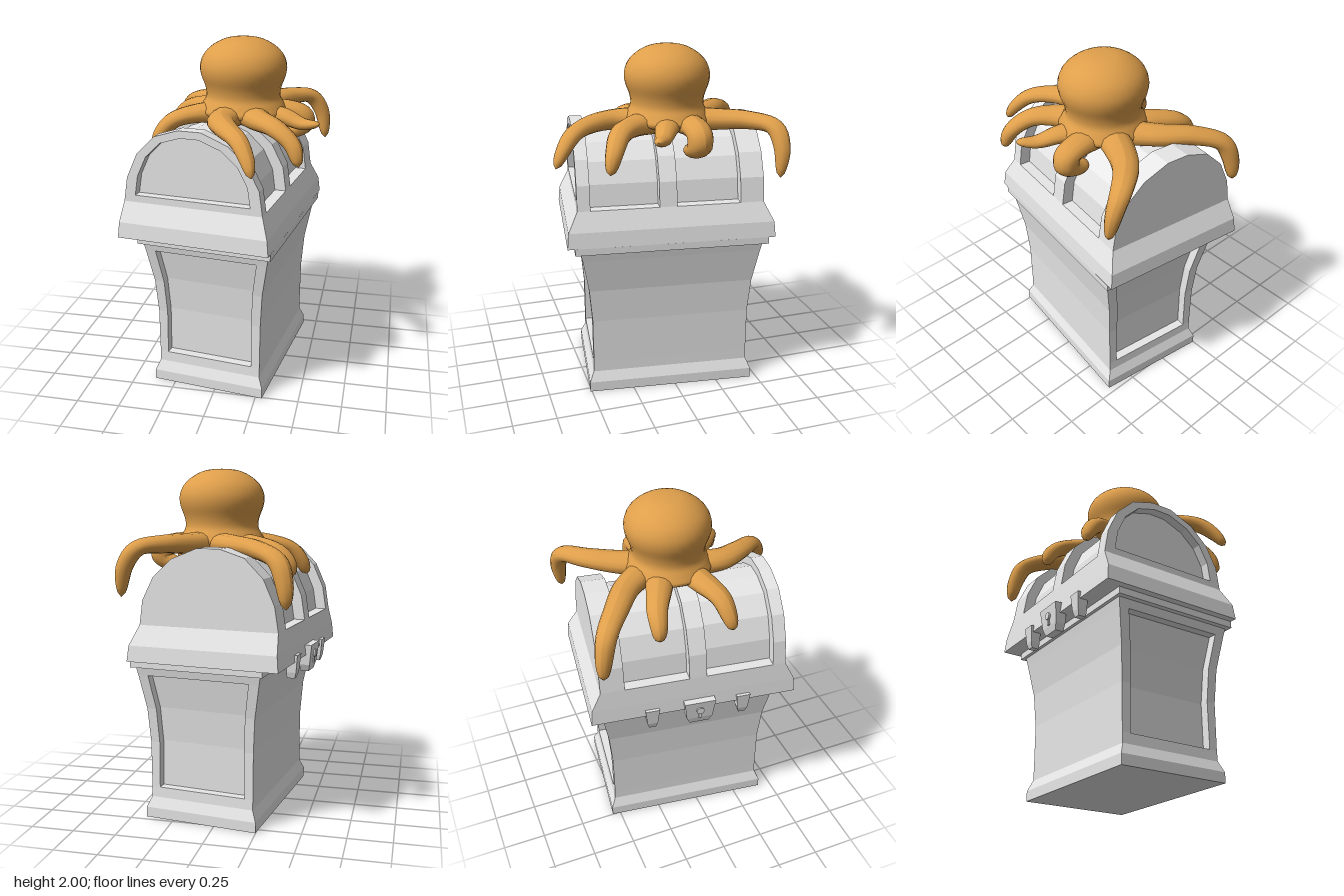
import * as THREE from 'three';

const stone = new THREE.MeshStandardMaterial({ color: 0xe9e9e9 });
stone.name = 'pale grey';
const skin = new THREE.MeshStandardMaterial({ color: 0xdf9f4b });
skin.name = 'orange skin';

function add(parent, name, geometry, material = stone) {
  const mesh = new THREE.Mesh(geometry, material);
  mesh.name = name;
  parent.add(mesh);
  return mesh;
}

// Flat-sided solid from rectangles stacked in y; each row is [y, x0, x1, z0, z1]
function loft(rows) {
  const rings = rows.map(([y, x0, x1, z0, z1]) => [[x0, y, z1], [x1, y, z1], [x1, y, z0], [x0, y, z0]]);
  const pos = [];
  const quad = (a, b, c, d) => pos.push(...a, ...b, ...c, ...a, ...c, ...d);
  for (let k = 0; k < rings.length - 1; k++) {
    for (let i = 0; i < 4; i++) {
      const j = (i + 1) % 4;
      quad(rings[k][i], rings[k][j], rings[k + 1][j], rings[k + 1][i]);
    }
  }
  const lo = rings[0], hi = rings[rings.length - 1];
  quad(lo[3], lo[2], lo[1], lo[0]);
  quad(hi[0], hi[1], hi[2], hi[3]);
  const geo = new THREE.BufferGeometry();
  geo.setAttribute('position', new THREE.Float32BufferAttribute(pos, 3));
  geo.computeVertexNormals();
  return geo;
}

// Chest box: flared walls with a sunken panel at each end
function buildBase() {
  const g = new THREE.Group();
  g.name = 'chestBase';
  const foot = [[0, .335, .49], [.06, .335, .49], [.12, .31, .465], [.18, .31, .462]];
  const wall = [[.18, .31, .462], [.45, .312, .462], [.65, .325, .478], [.85, .36, .512]];
  const top = [[.85, .36, .512], [.90, .37, .522]];
  const solid = (rows, dz = 0) => loft(rows.map(([y, w, l]) => [y, -w, w, -l + dz, l - dz]));
  const depth = .052;
  add(g, 'foot', solid(foot));
  add(g, 'walls', solid(wall, depth));
  add(g, 'topRail', solid(top));
  add(g, 'rim', solid([[.90, .39, .553], [.94, .39, .553]]));
  // Upright borders of the end panels
  for (const sx of [-1, 1]) for (const sz of [-1, 1]) {
    add(g, 'panelStile', loft(wall.map(([y, w, l]) => {
      const xs = [sx * w, sx * (w - .05 - .015 * (y - .18))].sort((a, b) => a - b);
      const zs = [sz * l, sz * (l - depth)].sort((a, b) => a - b);
      return [y, ...xs, ...zs];
    })));
  }
  return g;
}

// Barrel-topped lid with raised bands
function buildLid() {
  const g = new THREE.Group();
  g.name = 'chestLid';
  add(g, 'lidFlange', loft([
    [.94, -.44, .44, -.593, .593], [1.03, -.432, .43, -.585, .585], [1.14, -.42, .387, -.53, .53]]));

  const arch = [[.387, 1.14], [.367, 1.28], [.30, 1.41], [.19, 1.51], [.04, 1.57], [-.09, 1.57],
    [-.23, 1.525], [-.335, 1.42], [-.398, 1.28], [-.42, 1.14]];
  const outline = (sx, sy, y0) => arch.map(([x, y]) =>
    new THREE.Vector2(-.02 + (x + .02) * sx, y0 + (y - 1.14) * sy));
  const slab = (shape, z0, z1) => new THREE.ExtrudeGeometry(shape,
    { depth: z1 - z0, bevelEnabled: false }).translate(0, 0, z0);
  const full = () => new THREE.Shape(outline(1, 1, 1.14));

  add(g, 'lidPanels', slab(new THREE.Shape(outline(.84, .89, 1.14)), -.5, .46));
  add(g, 'backBand', slab(full(), -.53, -.395));
  add(g, 'middleBand', slab(full(), -.03, .07));
  add(g, 'frontPanel', slab(full(), .457, .475));
  const front = full();
  front.holes.push(new THREE.Path(outline(.83, .81, 1.18).reverse()));
  add(g, 'frontBand', slab(front, .475, .53));

  // Lock plate, keyhole boss and two hasps on the opening side
  add(g, 'lockPlate', loft([[.84, -.45, -.4, -.035, .075], [.88, -.46, -.4, -.055, .095],
    [1.0, -.475, -.4, -.07, .11]]));
  const boss = add(g, 'keyholeBoss', new THREE.CylinderGeometry(.022, .022, .02, 12));
  boss.rotation.z = Math.PI / 2;
  boss.position.set(-.468, .94, .02);
  add(g, 'keySlot', new THREE.BoxGeometry(.016, .04, .016)).position.set(-.462, .905, .02);
  for (const z of [-.25, .28]) {
    add(g, 'hasp', loft([[.845, -.435, -.39, z - .02, z + .02], [.88, -.445, -.39, z - .03, z + .03],
      [.98, -.455, -.39, z - .04, z + .04]]));
  }
  return g;
}

// Tapering tube, flattened a little from above, with a rounded tip
function tentacle(points, r0, r1) {
  const curve = new THREE.CatmullRomCurve3(points.map(p => new THREE.Vector3(...p)));
  const n = 32, sides = 14;
  const geo = new THREE.TubeGeometry(curve, n, 1, sides);
  const pos = geo.attributes.position, v = new THREE.Vector3();
  for (let i = 0; i <= n; i++) {
    const u = i / n, c = curve.getPointAt(u);
    const r = (r0 + (r1 - r0) * u) * Math.sqrt(Math.max(0, 1 - u ** 14));
    for (let j = 0; j <= sides; j++) {
      const k = i * (sides + 1) + j;
      v.fromBufferAttribute(pos, k).sub(c).multiplyScalar(r);
      v.y *= .72;
      v.add(c);
      pos.setXYZ(k, v.x, v.y, v.z);
    }
  }
  geo.computeVertexNormals();
  return geo;
}

function buildOctopus() {
  const g = new THREE.Group();
  g.name = 'octopus';
  // Bulbous head narrowing to a neck and spreading skirt
  const profile = new THREE.SplineCurve([[0, 1.535], [.15, 1.54], [.25, 1.575], [.238, 1.62], [.215, 1.665],
    [.22, 1.72], [.245, 1.79], [.248, 1.85], [.222, 1.91], [.165, 1.96], [.09, 1.992], [0, 2]]
    .map(p => new THREE.Vector2(...p))).getPoints(40);
  profile.forEach(p => { p.x = Math.max(0, p.x); });
  const head = add(g, 'head', new THREE.LatheGeometry(profile, 32), skin);
  head.position.set(.067, 0, -.033);
  head.scale.z = .97;

  // Each arm: path, root radius, tip radius
  const arms = {
    frontArm: [[[.03, 1.575, .08], [0, 1.575, .26], [.06, 1.57, .41], [.15, 1.54, .53], [.21, 1.46, .605], [.24, 1.38, .65]], .095, .036],
    frontLeftArm: [[[.12, 1.575, .06], [.2, 1.575, .2], [.31, 1.56, .305], [.41, 1.49, .365], [.45, 1.38, .4]], .095, .038],
    sideLeftArm: [[[.18, 1.575, -.01], [.32, 1.57, .05], [.43, 1.545, .105], [.53, 1.56, .16]], .085, .03],
    curledArm: [[[.2, 1.575, -.1], [.32, 1.575, -.11], [.395, 1.55, -.115], [.405, 1.49, -.115], [.35, 1.455, -.11], [.26, 1.44, -.11]], .085, .06],
    backLeftArm: [[[.1, 1.575, -.1], [.19, 1.58, -.3], [.29, 1.585, -.45], [.41, 1.565, -.55], [.475, 1.47, -.57], [.505, 1.3, -.555]], .1, .036],
    backRightArm: [[[.08, 1.575, -.13], [-.08, 1.575, -.33], [-.23, 1.56, -.44], [-.36, 1.505, -.54], [-.4, 1.4, -.575], [-.415, 1.26, -.59]], .092, .044],
    sideRightArm: [[[0, 1.575, -.1], [-.17, 1.57, -.18], [-.3, 1.54, -.24], [-.365, 1.48, -.255], [-.39, 1.4, -.26]], .09, .042],
    frontRightArm: [[[0, 1.575, .02], [-.18, 1.57, .075], [-.31, 1.535, .125], [-.38, 1.46, .145], [-.415, 1.38, .16]], .095, .04],
  };
  for (const [name, [points, r0, r1]] of Object.entries(arms)) {
    add(g, name, tentacle(points, r0, r1), skin);
  }
  return g;
}

export function createModel() {
  const model = new THREE.Group();
  model.name = 'octopusOnChest';
  const base = buildBase(), lid = buildLid();
  base.position.set(.02, 0, -.02);
  lid.position.set(-.03, 0, -.025);
  base.rotation.y = lid.rotation.y = -.13;
  model.add(base, lid, buildOctopus());
  return model;
}
